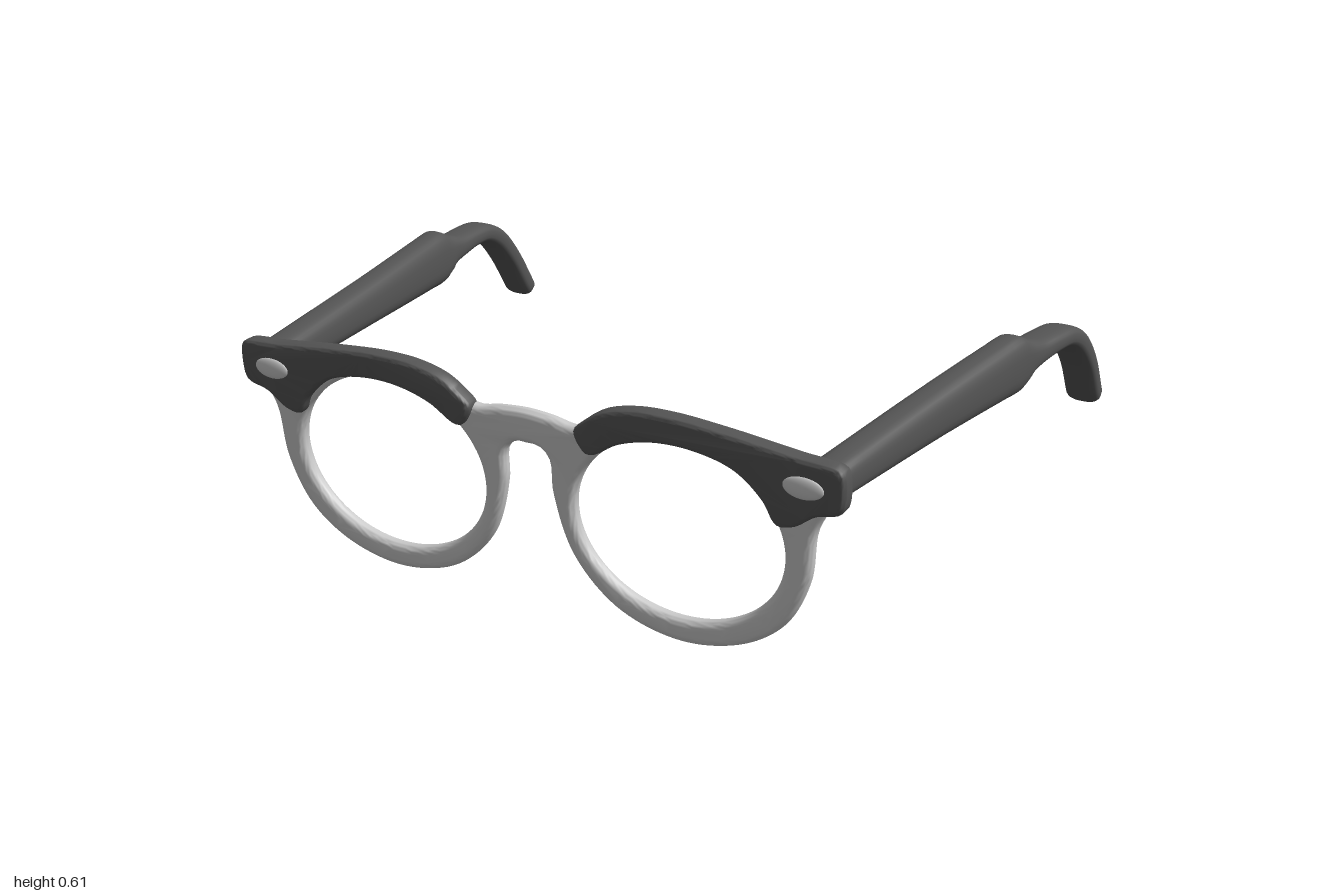
import * as THREE from 'three';
import { toCreasedNormals } from 'three/addons/utils/BufferGeometryUtils.js';

const grey = new THREE.MeshStandardMaterial({ color: 0xcccccc });
const dark = new THREE.MeshStandardMaterial({ color: 0x555555 });

// smooth closed outline through a few points, mirrored by side
function outline(points, side, count) {
  const curve = new THREE.CatmullRomCurve3(
    points.map(([x, y]) => new THREE.Vector3(x * side, y, 0)), true);
  return curve.getSpacedPoints(count).slice(0, -1).map(p => new THREE.Vector2(p.x, p.y));
}

// rounded plate centred at z, leaning slightly forward with height
function plate(shape, thickness, bevelThickness, bevelSize, z) {
  const depth = thickness - 2 * bevelThickness;
  const geo = new THREE.ExtrudeGeometry(shape, {
    depth, bevelThickness, bevelSize, bevelOffset: -bevelSize, bevelSegments: 6, curveSegments: 48,
  });
  geo.translate(0, 0, z - depth / 2);
  const pos = geo.attributes.position;
  for (let i = 0; i < pos.count; i++) pos.setZ(i, pos.getZ(i) + 0.053 * pos.getY(i));
  geo.deleteAttribute('uv');
  return toCreasedNormals(geo, 0.7);
}

// loft along the arm: rows are [x, y, z, half height]
function templeGeometry(side) {
  const rows = [
    [0.79, 0.515, 0.69, 0.046], [0.848, 0.519, 0.2, 0.064], [0.893, 0.52, -0.13, 0.078],
    [0.902, 0.52, -0.195, 0.079], [0.906, 0.521, -0.225, 0.067], [0.91, 0.523, -0.255, 0.049],
    [0.917, 0.521, -0.31, 0.035], [0.93, 0.521, -0.4, 0.029], [0.939, 0.512, -0.48, 0.029],
    [0.945, 0.475, -0.555, 0.032], [0.95, 0.39, -0.638, 0.031], [0.95, 0.267, -0.72, 0.03],
  ];
  const path = new THREE.CatmullRomCurve3(rows.map(r => new THREE.Vector3(r[0], r[1], r[2])));
  const heights = new THREE.CatmullRomCurve3(rows.map((r, i) => new THREE.Vector3(i * 0.05, r[3], 0)));
  const steps = 66, sides = 28;
  // [t, push along the path, scale]; the extra rings round off both ends
  const rings = [[0, 0, 0], [0, 0, 0.9]];
  for (let i = 0; i <= steps; i++) rings.push([i / steps, i ? 0 : 0.006, 1]);
  rings.push([1, 0.01, 0.95], [1, 0.018, 0.84], [1, 0.023, 0.65], [1, 0.025, 0.4], [1, 0.025, 0]);

  const positions = [], index = [];
  const across = new THREE.Vector3(1, 0, 0);
  const round = v => Math.sign(v) * Math.pow(Math.abs(v), 0.7);
  rings.forEach(([t, push, scale], j) => {
    const tan = path.getTangent(t);
    const c = path.getPoint(t).addScaledVector(tan, push);
    const up = across.clone().cross(tan).normalize();
    const h = heights.getPoint(t).y * scale, w = 0.05 * scale;
    for (let k = 0; k < sides; k++) {
      const a = k / sides * Math.PI * 2;
      const p = c.clone().addScaledVector(across, w * round(Math.cos(a)))
        .addScaledVector(up, h * round(Math.sin(a)));
      positions.push(p.x * side, p.y, p.z);
      if (j === 0) continue;
      const k2 = (k + 1) % sides;
      const A = (j - 1) * sides + k, B = (j - 1) * sides + k2, C = j * sides + k2, D = j * sides + k;
      if (side > 0) index.push(A, C, B, A, D, C);
      else index.push(A, B, C, A, C, D);
    }
  });
  const geo = new THREE.BufferGeometry();
  geo.setAttribute('position', new THREE.Float32BufferAttribute(positions, 3));
  geo.setIndex(index);
  geo.computeVertexNormals();
  return geo;
}

export function createModel() {
  const group = new THREE.Group();
  const add = (name, geo, material) => {
    const mesh = new THREE.Mesh(geo, material);
    mesh.name = name;
    group.add(mesh);
    return mesh;
  };

  // front frame: both rims, bridge and end pieces in one plate, outline running clockwise
  const half = [
    [0.07, 0.535], [0.15, 0.525], [0.25, 0.582], [0.41, 0.605], [0.6, 0.594], [0.79, 0.567],
    [0.84, 0.52], [0.81, 0.455], [0.778, 0.39], [0.759, 0.25], [0.695, 0.12], [0.577, 0.035],
    [0.41, 0.002], [0.24, 0.048], [0.12, 0.168], [0.068, 0.33], [0.062, 0.42], [0.035, 0.447],
  ];
  const mirrored = half.map(([x, y]) => [-x, y]).reverse();
  const frame = new THREE.Shape(outline([[0, 0.54], ...half, [0, 0.449], ...mirrored], 1, 240));
  for (const side of [1, -1]) {
    // lens openings run counter-clockwise
    const hole = new THREE.Path();
    hole.absellipse(side * 0.414, 0.305, 0.283, 0.236, 0, Math.PI * 2, false);
    frame.holes.push(hole);
  }
  add('frontFrame', plate(frame, 0.042, 0.019, 0.021, 0.675), grey);

  // brow caps, studs and arms
  const brow = [
    [0.148, 0.522], [0.175, 0.552], [0.23, 0.588], [0.31, 0.609], [0.41, 0.614], [0.553, 0.604],
    [0.74, 0.583], [0.842, 0.573], [0.855, 0.56], [0.855, 0.475], [0.842, 0.457], [0.785, 0.44],
    [0.73, 0.402], [0.69, 0.394], [0.675, 0.405], [0.65, 0.45], [0.58, 0.51], [0.48, 0.537],
    [0.37, 0.537], [0.27, 0.51], [0.2, 0.468], [0.178, 0.468],
  ];
  for (const side of [1, -1]) {
    const tag = side > 0 ? 'left' : 'right';
    const cap = new THREE.Shape(outline(brow, side, 150));
    add(tag + 'BrowCap', plate(cap, 0.052, 0.014, 0.013, 0.688), dark);

    const stud = add(tag + 'Stud', new THREE.SphereGeometry(1, 28, 16), grey);
    stud.scale.set(0.052, 0.028, 0.01);
    stud.position.set(side * 0.757, 0.512, 0.741);

    add(tag + 'Temple', templeGeometry(side), dark);
  }
  return group;
}
